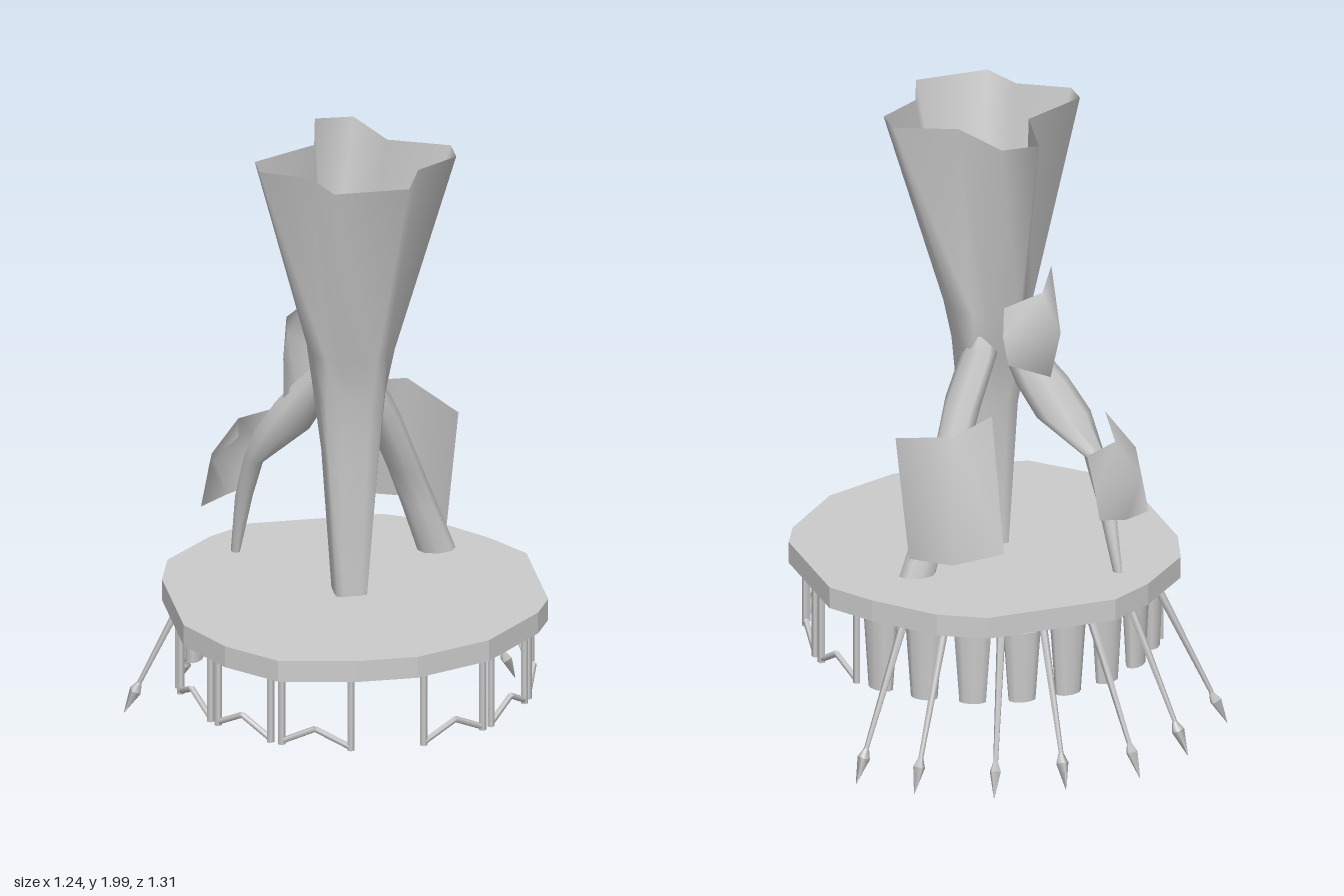
import * as THREE from 'three';

const material = new THREE.MeshStandardMaterial({ color: 0xcccccc, side: THREE.DoubleSide });
const v = (x, y, z) => new THREE.Vector3(x, y, z);

// Skin a grid of points, rows of equal length; closed joins each row into a ring
function skin(rows, closed) {
  const n = rows[0].length, index = [];
  for (let r = 0; r < rows.length - 1; r++) {
    for (let i = 0; i < (closed ? n : n - 1); i++) {
      const a = r * n + i, b = r * n + (i + 1) % n;
      index.push(a, a + n, b, b, a + n, b + n);
    }
  }
  const g = new THREE.BufferGeometry().setFromPoints(rows.flat());
  g.setIndex(index);
  g.computeVertexNormals();
  return g;
}

// Limb from horizontal ellipses [x, y, z, rx, rz]
function limb(rings, sides = 8) {
  return skin(rings.map(([x, y, z, rx, rz]) => Array.from({ length: sides }, (_, i) => {
    const a = i / sides * Math.PI * 2;
    return v(x + rx * Math.cos(a), y, z + rz * Math.sin(a));
  })), true);
}

// Straight bar between two points
function bar(a, b, rA, rB, sides = 5) {
  const d = b.clone().sub(a);
  const g = new THREE.CylinderGeometry(rB, rA, d.length(), sides);
  g.applyQuaternion(new THREE.Quaternion().setFromUnitVectors(v(0, 1, 0), d.normalize()));
  g.translate((a.x + b.x) / 2, (a.y + b.y) / 2, (a.z + b.z) / 2);
  return g;
}

export function createModel() {
  const model = new THREE.Group();
  const add = (name, geometry, parent = model) => {
    const mesh = new THREE.Mesh(geometry, material);
    mesh.name = name;
    parent.add(mesh);
    return mesh;
  };
  const group = (name) => {
    const g = new THREE.Group();
    g.name = name;
    model.add(g);
    return g;
  };
  // Point on the platform's circle, angle in degrees from the front towards +x
  const rim = (deg, r, y) => {
    const a = THREE.MathUtils.degToRad(deg);
    return v(0.03 + r * Math.sin(a), y, 0.08 + r * Math.cos(a));
  };

  // Platform: faceted disc
  const edge = [[-0.2, -0.488], [0.22, -0.488], [0.36, -0.41], [0.51, -0.24], [0.6, -0.1], [0.6, 0.27],
    [0.55, 0.37], [0.36, 0.56], [0.12, 0.65], [-0.07, 0.65], [-0.31, 0.603], [-0.45, 0.46],
    [-0.545, 0.27], [-0.545, -0.1], [-0.5, -0.25], [-0.335, -0.41]];
  const disc = new THREE.ExtrudeGeometry(new THREE.Shape(edge.map(([x, z]) => new THREE.Vector2(x, -z))),
    { depth: 0.07, bevelEnabled: false });
  disc.rotateX(-Math.PI / 2).translate(0, 0.48, 0);
  add('platform', disc);

  // Trunk: open cross-shaped section at the top turning into a square front leg
  const cross = [[-0.04, -0.235], [0.08, -0.23], [0.15, -0.03], [0.335, 0.05], [0.335, 0.14], [0.2, 0.225],
    [0.145, 0.37], [-0.09, 0.37], [-0.137, 0.24], [-0.285, 0.15], [-0.285, 0.07], [-0.08, -0.03]];
  const square = [[0.25, 0], [0.75, 0], [0.96, 0.04], [1, 0.25], [1, 0.75], [0.96, 0.96],
    [0.75, 1], [0.25, 1], [0.04, 0.96], [0, 0.75], [0, 0.25], [0.04, 0.04]];
  // Levels: y, min x, max x, min z, max z, squareness
  const levels = [[2, -0.285, 0.335, -0.235, 0.37, 0], [1.36, -0.115, 0.145, -0.08, 0.215, 0.5],
    [1.22, -0.095, 0.115, -0.05, 0.19, 0.85], [1.02, -0.075, 0.095, 0.03, 0.16, 1],
    [0.55, -0.042, 0.06, 0.03, 0.14, 1]];
  add('trunk', skin(levels.map(([y, x0, x1, z0, z1, t]) => cross.map(([x, z], i) => v(
    THREE.MathUtils.lerp(x0, x1, THREE.MathUtils.lerp((x + 0.285) / 0.62, square[i][0], t)), y,
    THREE.MathUtils.lerp(z0, z1, THREE.MathUtils.lerp((z + 0.235) / 0.605, square[i][1], t))))), true));

  // Two rear legs
  add('leftRearLeg', limb([[0.04, 1.34, 0.03, 0.05, 0.06], [0.065, 1.24, 0, 0.05, 0.075],
    [0.135, 1.08, -0.03, 0.055, 0.075], [0.213, 0.88, -0.095, 0.053, 0.055],
    [0.265, 0.74, -0.125, 0.055, 0.045], [0.325, 0.57, -0.14, 0.06, 0.04]]));
  add('rightRearLeg', limb([[-0.03, 1.28, 0, 0.05, 0.06], [-0.11, 1.13, -0.07, 0.085, 0.06],
    [-0.17, 1.02, -0.1, 0.088, 0.045], [-0.245, 0.9, -0.17, 0.033, 0.04],
    [-0.262, 0.75, -0.24, 0.028, 0.033], [-0.28, 0.55, -0.285, 0.015, 0.02]]));

  // Thin bent plates behind the trunk and legs
  add('upperPlate', skin([
    [v(0.03, 1.41, -0.11), v(-0.1, 1.44, -0.1), v(-0.18, 1.46, 0.04)],
    [v(0.04, 1.32, -0.13), v(-0.14, 1.32, -0.155), v(-0.19, 1.32, 0.04)],
    [v(0.02, 1.22, -0.12), v(-0.12, 1.16, -0.12), v(-0.185, 1.18, 0.02)]]));
  add('leftPlate', skin([
    [v(0.115, 1.11, -0.235), v(0.26, 1.085, -0.29), v(0.39, 1.03, -0.12)],
    [v(0.115, 0.69, -0.345), v(0.28, 0.67, -0.33), v(0.36, 0.635, -0.16)]]));
  add('rightPlate', skin([
    [v(-0.155, 0.985, -0.355), v(-0.27, 0.99, -0.29), v(-0.305, 1.01, -0.1)],
    [v(-0.18, 0.87, -0.35), v(-0.35, 0.87, -0.31), v(-0.385, 0.9, -0.16)],
    [v(-0.205, 0.75, -0.33), v(-0.3, 0.73, -0.31), v(-0.395, 0.72, -0.25)]]));

  // Spears fanning out at the back: start x, z and tip x, z
  const spears = group('spears');
  [[-0.41, -0.27, -0.62, -0.34], [-0.285, -0.365, -0.42, -0.535], [-0.135, -0.44, -0.222, -0.648],
    [0.02, -0.43, 0.023, -0.655], [0.16, -0.445, 0.255, -0.643], [0.32, -0.37, 0.475, -0.525],
    [0.42, -0.28, 0.618, -0.392]].forEach(([x, z, tx, tz]) => {
    const start = v(x, 0.48, z), tip = v(tx, 0.01, tz);
    const neck = start.clone().lerp(tip, 0.78), barb = start.clone().lerp(tip, 0.84);
    add('spearShaft', bar(start, neck, 0.014, 0.008), spears);
    add('spearNeck', bar(neck, barb, 0.008, 0.02, 4), spears);
    add('spearHead', bar(barb, tip, 0.02, 0.001, 4), spears);
  });

  // Tapered tiles hanging under the back rim
  const tiles = group('hangingTiles');
  for (let i = 0; i < 8; i++) {
    const deg = 123.5 + i * 116 / 7;
    const g = new THREE.CylinderGeometry(0.06, 0.043, 0.235, 10);
    g.scale(1, 1, 0.6);
    const tile = add('hangingTile', g, tiles);
    tile.position.copy(rim(deg, 0.53, 0.357));
    tile.rotation.y = THREE.MathUtils.degToRad(deg);
  }

  // Frames under the front rim: two posts joined by a peaked rail
  const frames = group('hangingFrames');
  for (const side of [-1, 1]) {
    for (const span of [[12, 35], [39, 61], [65, 90], [95, 115]]) {
      const peak = rim((span[0] + span[1]) / 2 * side, 0.55, 0.305);
      for (const deg of span) {
        const foot = rim(deg * side, 0.55, 0.25);
        add('framePost', bar(rim(deg * side, 0.55, 0.48), rim(deg * side, 0.55, 0.24), 0.012, 0.012), frames);
        add('frameRail', bar(foot, peak, 0.01, 0.01), frames);
      }
    }
  }
  return model;
}
